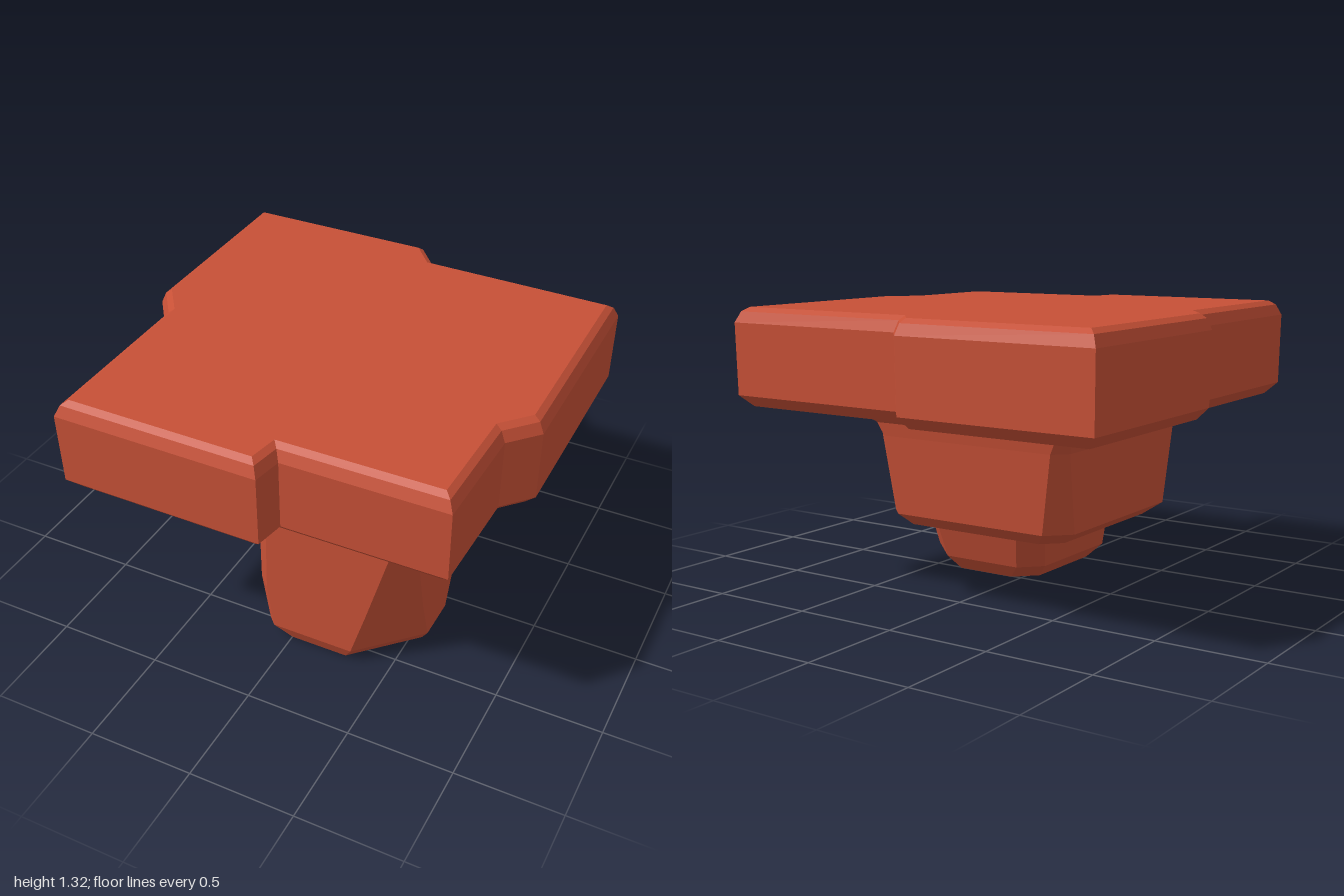
import * as THREE from 'three';

// Skin a stack of rings (bottom to top, each counterclockwise from above) and cap both ends.
function loft(rings) {
  const n = rings[0].pts.length;
  const pos = [], idx = [];
  for (const { y, pts } of rings) for (const [x, z] of pts) pos.push(x, y, z);
  for (let r = 0; r < rings.length - 1; r++) {
    for (let i = 0; i < n; i++) {
      const j = (i + 1) % n;
      const a = r * n + i, b = r * n + j, c = a + n, d = b + n;
      idx.push(a, b, d, a, d, c);
    }
  }
  const cap = (ring) => THREE.ShapeUtils.triangulateShape(
    ring.pts.map(([x, z]) => new THREE.Vector2(x, -z)), []);
  for (const [a, b, c] of cap(rings[0])) idx.push(a, c, b);
  const top = (rings.length - 1) * n;
  for (const [a, b, c] of cap(rings[rings.length - 1])) idx.push(top + a, top + b, top + c);

  const indexed = new THREE.BufferGeometry();
  indexed.setAttribute('position', new THREE.Float32BufferAttribute(pos, 3));
  indexed.setIndex(idx);
  const geo = indexed.toNonIndexed(); // faceted normals
  geo.computeVertexNormals();
  return geo;
}

// Move every edge of an outline inwards by d.
function inset(pts, d) {
  const n = pts.length;
  const normal = (p, q) => {
    const dx = q[0] - p[0], dz = q[1] - p[1], l = Math.hypot(dx, dz);
    return [dz / l, -dx / l];
  };
  return pts.map((p, i) => {
    const a = normal(pts[(i + n - 1) % n], p), b = normal(p, pts[(i + 1) % n]);
    const k = d / (1 + a[0] * b[0] + a[1] * b[1]);
    return [p[0] + (a[0] + b[0]) * k, p[1] + (a[1] + b[1]) * k];
  });
}

// Rectangle with its own cut at each corner: back right, back left, front left, front right of the plan.
function cutRect(y, x0, x1, z0, z1, [br, bl, fl, fr]) {
  return { y, pts: [
    [x1, z0 + br], [x1 - br, z0], [x0 + bl, z0], [x0, z0 + bl],
    [x0, z1 - fl], [x0 + fl, z1], [x1 - fr, z1], [x1, z1 - fr],
  ] };
}

export function createModel() {
  const model = new THREE.Group();
  model.name = 'rockPlatform';
  const clay = new THREE.MeshStandardMaterial({ color: 0xc65036 });
  clay.name = 'redClay';

  const add = (name, rings) => {
    const mesh = new THREE.Mesh(loft(rings), clay);
    mesh.name = name;
    model.add(mesh);
  };

  // Flat slab with a stepped outline and bevelled rims
  const outline = [
    [0.99, -0.87], [0.05, -0.88], [-0.05, -1], [-1, -1], [-1, -0.03], [-0.89, 0.12],
    [-0.885, 0.985], [0.09, 0.99], [0.115, 0.85], [0.87, 0.845], [0.88, 0.32], [1, 0.19],
  ];
  const rim = inset(outline, 0.055);
  add('slab', [
    { y: 0.838, pts: outline.map(([x, z]) => [x * 0.66, z * 0.66]) },
    { y: 0.862, pts: rim },
    { y: 0.915, pts: inset(outline, 0.005) },
    { y: 1.25, pts: outline },
    { y: 1.3, pts: inset(outline, 0.022) },
    { y: 1.32, pts: inset(outline, 0.05) },
  ]);

  // Tall leg reaching the ground
  add('tallLeg', [
    cutRect(0, -0.05, 0.55, -0.01, 0.58, [0.2, 0.1, 0.05, 0.27]),
    cutRect(0.07, -0.12, 0.59, -0.07, 0.61, [0.2, 0.1, 0.04, 0.27]),
    cutRect(0.3, -0.17, 0.59, -0.15, 0.61, [0.18, 0.1, 0.06, 0.2]),
    cutRect(0.75, -0.18, 0.6, -0.14, 0.61, [0.1, 0.1, 0.08, 0.08]),
    cutRect(0.86, -0.2, 0.67, -0.17, 0.69, [0.1, 0.1, 0.08, 0.06]),
  ]);

  // Shorter block tucked behind the leg
  add('shortBlock', [
    cutRect(0.345, -0.54, 0.28, -0.55, 0.28, [0.06, 0.08, 0.06, 0.08]),
    cutRect(0.4, -0.615, 0.33, -0.61, 0.33, [0.07, 0.1, 0.05, 0.08]),
    cutRect(0.76, -0.64, 0.36, -0.65, 0.37, [0.06, 0.06, 0.05, 0.08]),
    cutRect(0.82, -0.66, 0.38, -0.66, 0.4, [0.05, 0.05, 0.05, 0.08]),
    cutRect(0.86, -0.7, 0.42, -0.71, 0.44, [0.05, 0.05, 0.05, 0.08]),
  ]);

  return model;
}
